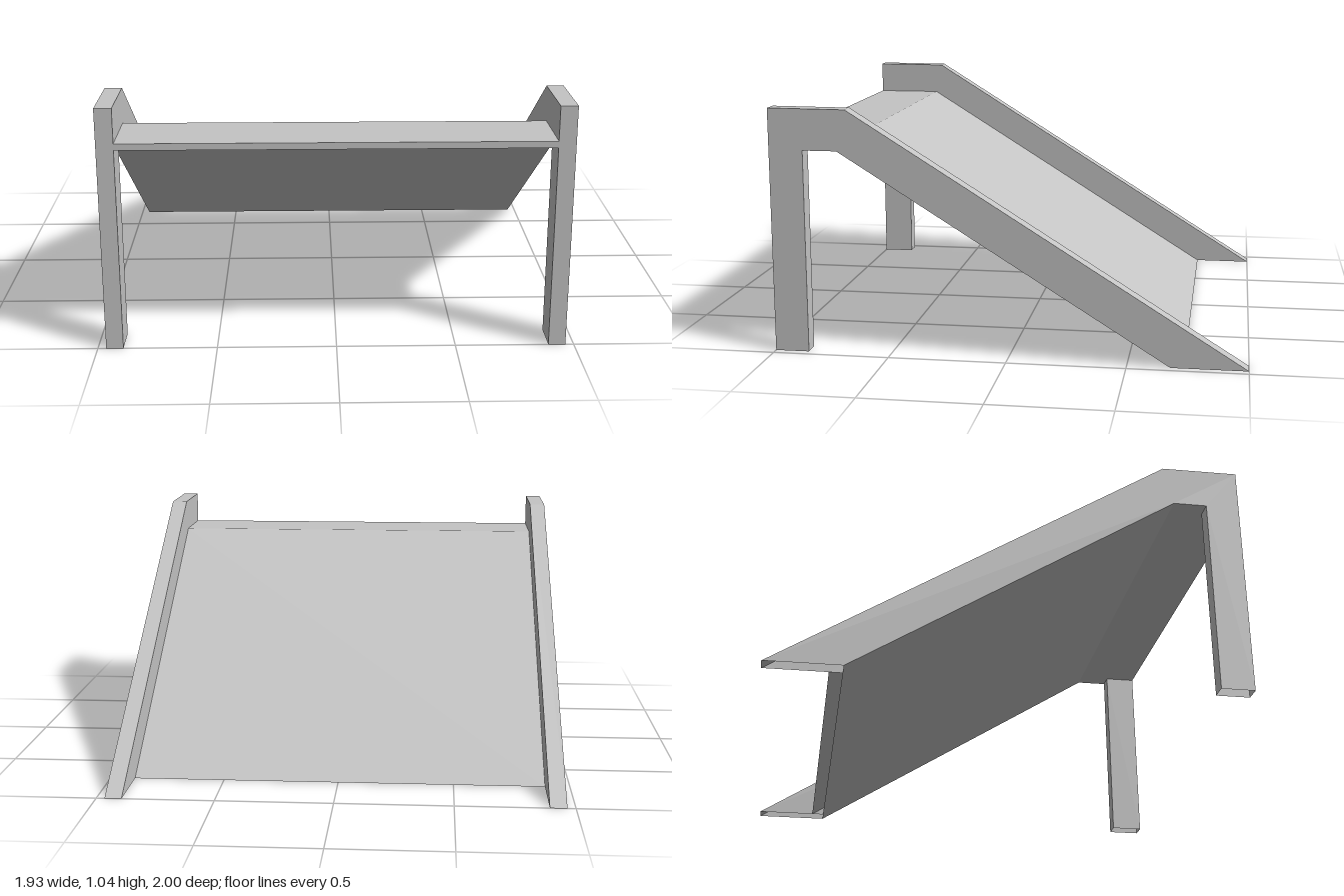
import * as THREE from 'three';

const gray = new THREE.MeshStandardMaterial({ color: 0xc4c4c4, side: THREE.DoubleSide });
gray.name = 'plain gray';

// Sweep a counter-clockwise (z, y) profile from x0 to x1; edges resting on the ground stay open.
function sweepProfile(name, profile, x0, x1) {
  const points = profile.map(([z, y]) => new THREE.Vector2(z, y));
  const positions = [];
  const put = (p, x) => positions.push(x, p.y, p.x);

  // flat side faces
  for (const [a, b, c] of THREE.ShapeUtils.triangulateShape(points, [])) {
    for (const i of [a, b, c]) put(points[i], x0);
    for (const i of [c, b, a]) put(points[i], x1);
  }
  // walls along the outline
  points.forEach((a, i) => {
    const b = points[(i + 1) % points.length];
    if (a.y === 0 && b.y === 0) return;
    put(b, x0); put(a, x0); put(a, x1);
    put(b, x0); put(a, x1); put(b, x1);
  });

  const geometry = new THREE.BufferGeometry();
  geometry.setAttribute('position', new THREE.Float32BufferAttribute(positions, 3));
  geometry.computeVertexNormals();
  const mesh = new THREE.Mesh(geometry, gray);
  mesh.name = name;
  return mesh;
}

export function createModel() {
  const model = new THREE.Group();
  model.name = 'ramp';
  const inner = 0.893, outer = 0.965;

  // side frames: front post, short level top and sloping rail
  const frame = [
    [1, 0], [1, 1.042], [0.67, 1.04], [-1, 0],
    [-0.68, 0], [0.71, 0.867], [0.855, 0.867], [0.855, 0],
  ];
  model.add(sweepProfile('leftFrame', frame, inner, outer));
  model.add(sweepProfile('rightFrame', frame, -outer, -inner));

  // thin deck: level landing at the front, then the slope down to the ground
  const deck = [
    [1, 0.867], [1, 0.895], [0.7, 0.895], [-0.735, 0],
    [-0.68, 0], [0.71, 0.867],
  ];
  model.add(sweepProfile('deck', deck, -inner, inner));

  return model;
}
